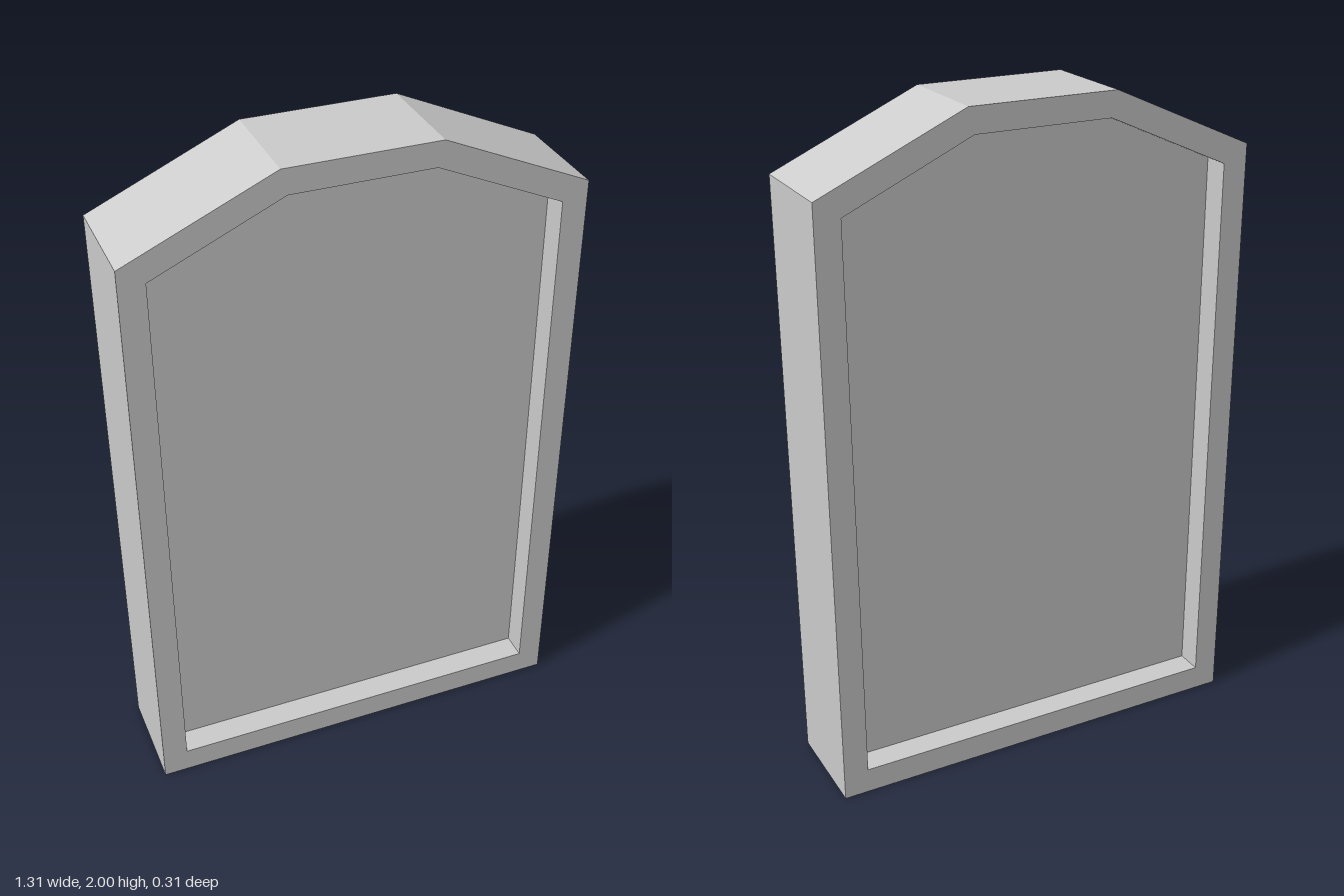
import * as THREE from 'three';

const DEPTH = 0.312;  // full thickness of the frame
const RECESS = 0.08;  // how far the panel sits back on each face

// Mirrored outline: straight sides, sloped shoulders, flat top
function outline(PathType, halfWidth, bottom, shoulder, halfTop, top) {
  const right = [[halfWidth, bottom], [halfWidth, shoulder], [halfTop, top]];
  const left = right.map(([x, y]) => [-x, y]).reverse();
  return new PathType([...right, ...left].map(([x, y]) => new THREE.Vector2(x, y)));
}

function slab(name, shape, depth, material) {
  const geometry = new THREE.ExtrudeGeometry(shape, { depth, bevelEnabled: false });
  geometry.translate(0, 0, -depth / 2);
  const mesh = new THREE.Mesh(geometry, material);
  mesh.name = name;
  return mesh;
}

export function createModel() {
  const group = new THREE.Group();
  group.name = 'framedPanel';
  const material = new THREE.MeshStandardMaterial({ color: 0xcccccc, flatShading: true });
  const inner = [0.58, 0.077, 1.757, 0.205, 1.926];

  // Outer frame with the opening cut through
  const frameShape = outline(THREE.Shape, 0.655, 0, 1.807, 0.222, 2);
  frameShape.holes.push(outline(THREE.Path, ...inner));
  group.add(slab('frame', frameShape, DEPTH, material));

  // Panel filling the opening, recessed front and back
  group.add(slab('panel', outline(THREE.Shape, ...inner), DEPTH - 2 * RECESS, material));

  return group;
}
